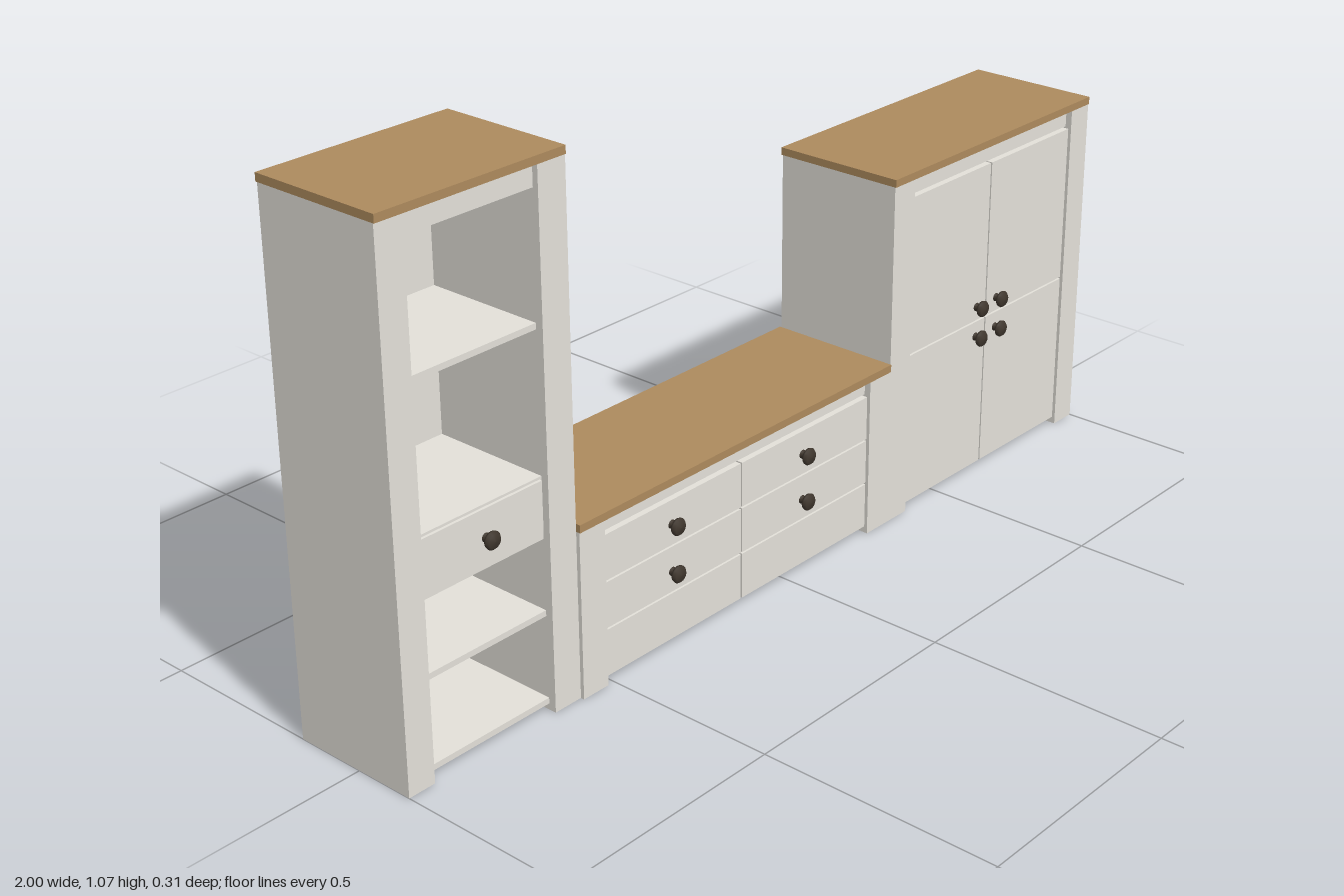
import * as THREE from 'three';

const paint = new THREE.MeshStandardMaterial({ color: 0xe4e1da });
paint.name = 'greyPaint';
const wood = new THREE.MeshStandardMaterial({ color: 0xae8b5e });
wood.name = 'oakTop';
const metal = new THREE.MeshStandardMaterial({ color: 0x40372e });
metal.name = 'darkMetal';

const BACK = -0.155;

// Box given by its limits on each axis
function slab(parent, name, [x0, x1], [y0, y1], [z0, z1], material = paint) {
  const mesh = new THREE.Mesh(new THREE.BoxGeometry(x1 - x0, y1 - y0, z1 - z0), material);
  mesh.position.set((x0 + x1) / 2, (y0 + y1) / 2, (z0 + z1) / 2);
  mesh.name = name;
  parent.add(mesh);
}

// Turned knob pointing forward, its base on the face at z
const knobProfile = [[0.009, 0], [0.007, 0.006], [0.009, 0.011], [0.0165, 0.013],
  [0.018, 0.018], [0.014, 0.023], [0, 0.025]].map(([r, h]) => new THREE.Vector2(r, h));
const knobGeometry = new THREE.LatheGeometry(knobProfile, 16).rotateX(Math.PI / 2);
function knob(parent, x, y, z) {
  const mesh = new THREE.Mesh(knobGeometry, metal);
  mesh.position.set(x, y, z);
  mesh.name = 'knob';
  parent.add(mesh);
}

// Side panel with a wide front post, L-shaped in plan; dir points inwards along x
function sideWithPost(parent, x, dir, post, height, front, back) {
  const plan = [[0, back], [0.018, back], [0.018, front - 0.035],
    [post, front - 0.035], [post, front], [0, front]];
  const shape = new THREE.Shape(plan.map(([dx, z]) => new THREE.Vector2(x + dir * dx, -z)));
  const geometry = new THREE.ExtrudeGeometry(shape, { depth: height, bevelEnabled: false });
  const mesh = new THREE.Mesh(geometry.rotateX(-Math.PI / 2), paint);
  mesh.name = 'sideWithPost';
  parent.add(mesh);
}

// Both sides and the worktop
function frame(parent, [x0, x1], [leftPost, rightPost], height, front, back) {
  const bodyTop = height - 0.016;
  sideWithPost(parent, x0, 1, leftPost, bodyTop, front - 0.002, back);
  sideWithPost(parent, x1, -1, rightPost, bodyTop, front - 0.002, back);
  slab(parent, 'worktop', [x0, x1], [bodyTop, height], [BACK, front], wood);
}

// Tall open shelf unit with one drawer
function tower() {
  const g = new THREE.Group();
  g.name = 'shelfTower';
  const inner = [-0.94, -0.645];
  frame(g, [-1, -0.58], [0.06, 0.065], 1.07, 0.13, BACK + 0.004);
  for (const x of [[-0.982, -0.94], [-0.645, -0.598]])
    slab(g, 'innerSide', x, [0.012, 1.054], [BACK + 0.004, 0.094]);
  slab(g, 'backPanel', [-0.982, -0.598], [0.012, 1.054], [BACK, BACK + 0.015]);
  slab(g, 'topRail', inner, [1.01, 1.054], [0.095, 0.116]);
  slab(g, 'ceiling', inner, [1.03, 1.054], [BACK + 0.01, 0.095]);
  for (const y of [0.025, 0.207, 0.363, 0.475, 0.765])
    slab(g, 'shelf', inner, [y - 0.012, y], [BACK + 0.01, 0.112]);
  slab(g, 'drawer', [-0.935, -0.65], [0.366, 0.47], [BACK + 0.02, 0.118]);
  knob(g, -0.787, 0.415, 0.118);
  return g;
}

// Low unit with two columns of drawers
function lowUnit() {
  const g = new THREE.Group();
  g.name = 'lowDrawerUnit';
  frame(g, [-0.58, 0.32], [0.065, 0.065], 0.36, 0.138, BACK + 0.01);
  slab(g, 'carcass', [-0.52, 0.26], [0.004, 0.344], [BACK + 0.002, 0.1]);
  for (const x of [[-0.562, -0.52], [0.26, 0.302]])
    slab(g, 'backFiller', x, [0.004, 0.344], [BACK + 0.01, 0.1]);
  slab(g, 'topRail', [-0.515, 0.255], [0.313, 0.344], [0.1, 0.122]);
  for (const [x0, x1, kx] of [[-0.512, -0.137, -0.333], [-0.133, 0.252, 0.048]])
    for (const [y0, y1, ky] of [[0.216, 0.31, 0.26], [0.117, 0.212, 0.16], [0.016, 0.113, 0]]) {
      slab(g, ky ? 'drawerFront' : 'lowerPanel', [x0, x1], [y0, y1], [0.1, 0.131]);
      if (ky) knob(g, kx, ky, 0.131);
    }
  return g;
}

// Cupboard with four doors
function cupboard() {
  const g = new THREE.Group();
  g.name = 'cupboard';
  frame(g, [0.32, 1], [0.065, 0.062], 0.757, 0.138, BACK + 0.004);
  slab(g, 'carcass', [0.338, 0.982], [0.004, 0.741], [BACK + 0.002, 0.1]);
  slab(g, 'topRail', [0.385, 0.938], [0.703, 0.741], [0.1, 0.122]);
  for (const [x0, x1, kx] of [[0.388, 0.652, 0.62], [0.656, 0.935, 0.69]])
    for (const [y0, y1, ky] of [[0.016, 0.353, 0.32], [0.357, 0.7, 0.388]]) {
      slab(g, 'door', [x0, x1], [y0, y1], [0.1, 0.131]);
      knob(g, kx, ky, 0.131);
    }
  return g;
}

export function createModel() {
  const model = new THREE.Group();
  model.name = 'wallUnit';
  model.add(tower(), lowUnit(), cupboard());
  return model;
}
